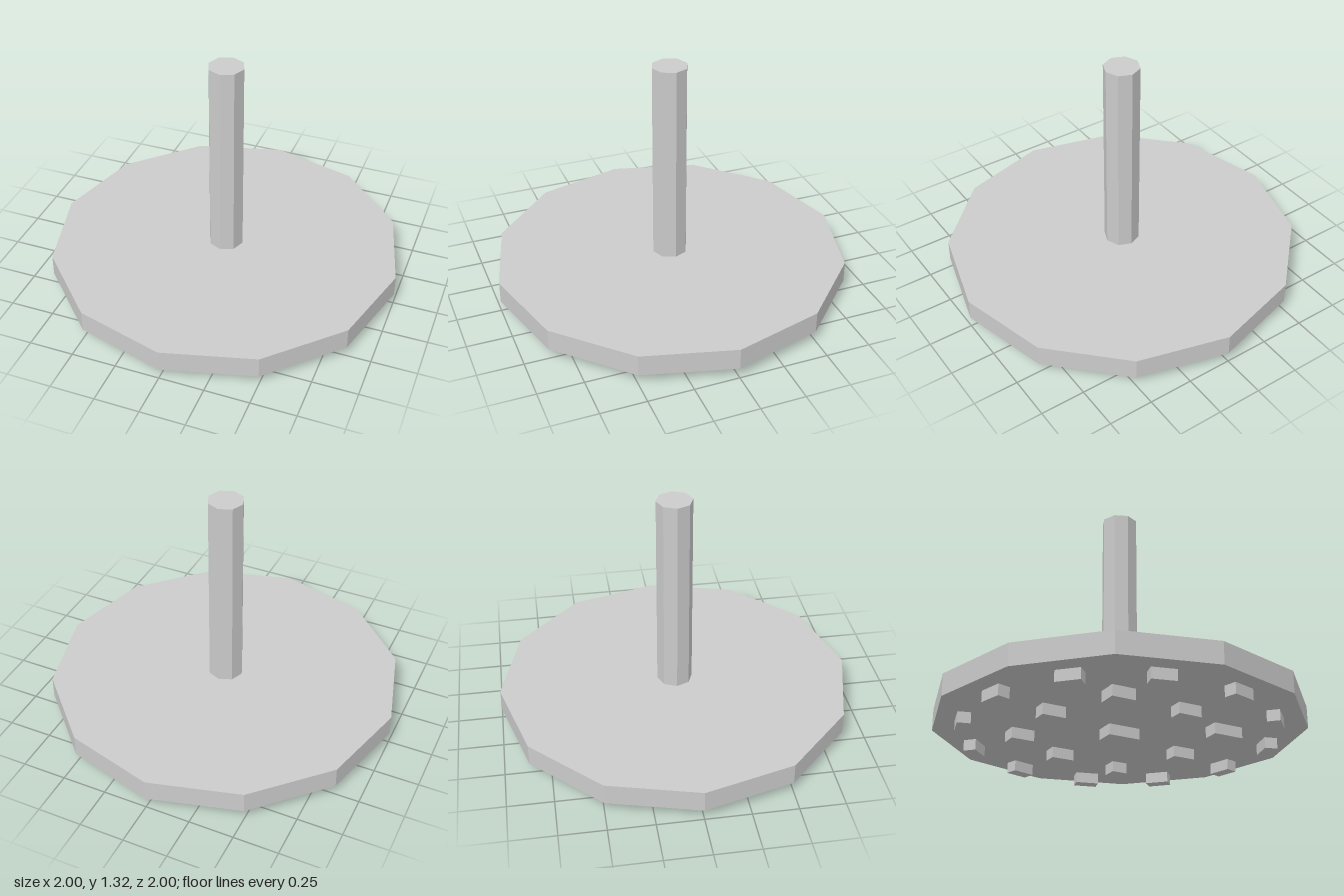
import * as THREE from 'three';

const material = new THREE.MeshStandardMaterial({ color: 0xcccccc, flatShading: true });

export function createModel() {
  const model = new THREE.Group();

  function add(parent, name, geometry, x, y, z, turn = 0) {
    const mesh = new THREE.Mesh(geometry, material);
    mesh.name = name;
    mesh.position.set(x, y, z);
    mesh.rotation.y = turn;
    parent.add(mesh);
  }

  // Twelve-sided plate and eight-sided handle
  add(model, 'plate', new THREE.CylinderGeometry(1, 1, 0.12, 12), 0, 0.12, 0);
  add(model, 'handle', new THREE.CylinderGeometry(0.1, 0.1, 1.14, 8), 0, 0.75, 0);

  // Small studs under the plate
  const studs = new THREE.Group();
  studs.name = 'studs';
  model.add(studs);
  const height = 0.06;

  // Outer ring, each stud lying along the rim
  for (let i = 0; i < 12; i++) {
    const a = THREE.MathUtils.degToRad(15 + 30 * i);
    add(studs, 'outerStud', new THREE.BoxGeometry(0.07, height, 0.13),
      0.83 * Math.cos(a), height / 2, 0.83 * Math.sin(a), -a);
  }

  // Middle ring and centre: x, z, width, depth
  const inner = [
    [0, 0, 0.18, 0.11],
    [0.46, -0.13, 0.13, 0.08], [0.13, 0.46, 0.13, 0.08],
    [-0.46, 0.12, 0.13, 0.08], [-0.12, -0.47, 0.13, 0.08],
    [0.47, 0.29, 0.17, 0.09], [-0.275, 0.49, 0.13, 0.11],
    [-0.45, -0.285, 0.13, 0.09], [0.275, -0.54, 0.09, 0.09],
  ];
  for (const [x, z, w, d] of inner) {
    add(studs, 'innerStud', new THREE.BoxGeometry(w, height, d), x, height / 2, z);
  }

  return model;
}
